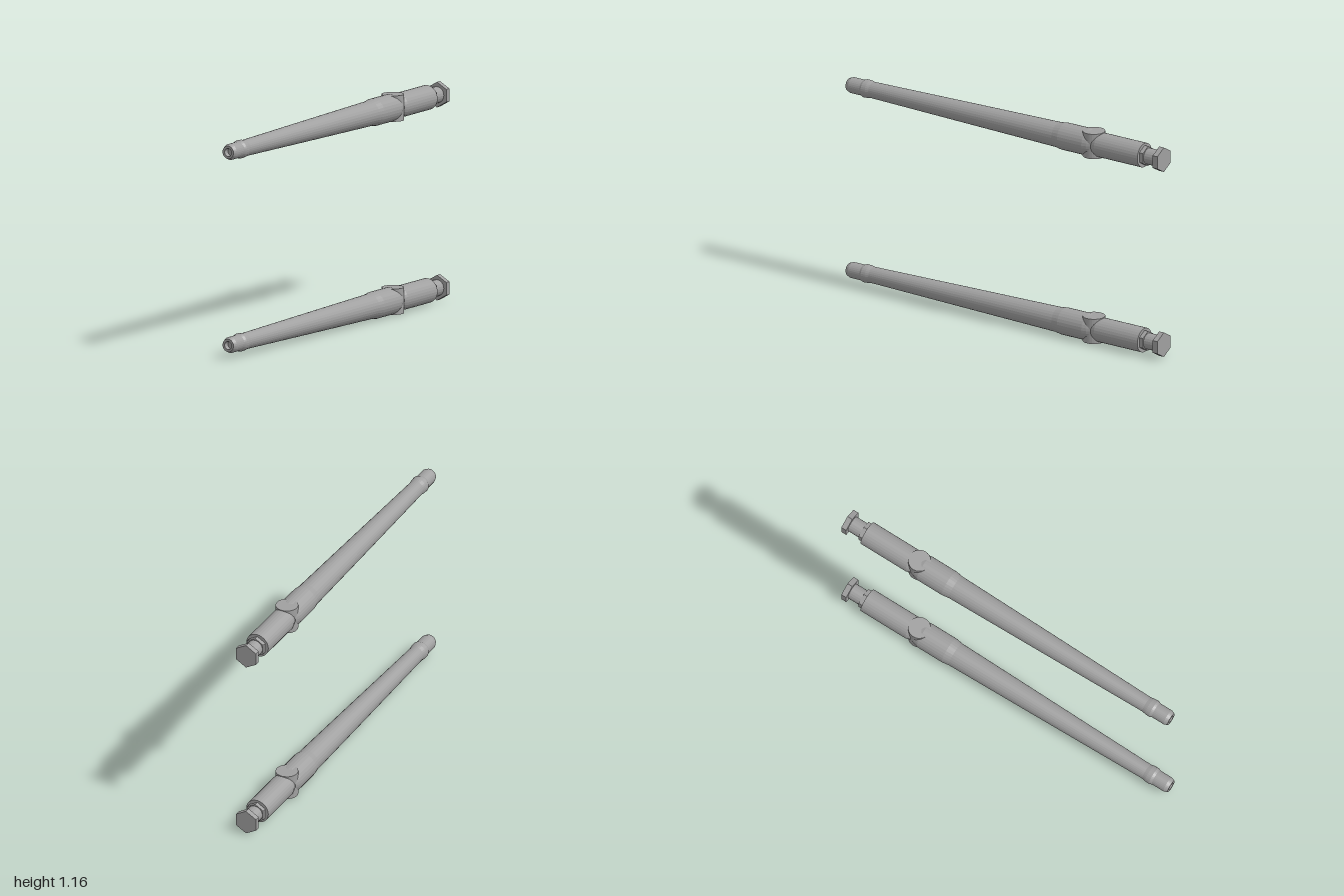
import * as THREE from 'three';

const steel = new THREE.MeshStandardMaterial({ color: 0xa0a0a0, flatShading: true });
steel.name = 'grey steel';

function add(group, name, geometry) {
  const mesh = new THREE.Mesh(geometry, steel);
  mesh.name = name;
  group.add(mesh);
}

// Turned part along z from [z, radius] pairs listed back to front
function turned(profile) {
  const points = profile.map(([z, r]) => new THREE.Vector2(r, z));
  return new THREE.LatheGeometry(points, 28).rotateX(Math.PI / 2);
}

// Prism or cylinder along z between two positions
function alongZ(radius, back, front, sides) {
  return new THREE.CylinderGeometry(radius, radius, front - back, sides)
    .rotateX(Math.PI / 2)
    .translate(0, 0, (back + front) / 2);
}

function createBarrel() {
  const g = new THREE.Group();

  // Tapered tube with swollen breech, muzzle ring and shallow bore
  add(g, 'barrelTube', turned([
    [-0.57, 0], [-0.57, 0.058], [-0.55, 0.066], [-0.525, 0.072], [-0.37, 0.072],
    [-0.33, 0.066], [0.2, 0.056], [0.85, 0.043], [0.87, 0.047], [0.895, 0.048],
    [0.908, 0.042], [0.98, 0.042], [1.0, 0.034], [1.0, 0.021], [0.97, 0.021], [0.97, 0],
  ]));

  // Vertical pivot drum through the barrel
  add(g, 'pivotDrum', new THREE.CylinderGeometry(0.059, 0.059, 0.136, 28).translate(0, 0, -0.555));

  // Rear sleeve
  add(g, 'rearSleeve', turned([
    [-0.877, 0], [-0.877, 0.065], [-0.6, 0.065], [-0.575, 0.058], [-0.575, 0],
  ]));

  // Hexagonal collar, neck and end cap
  add(g, 'hexCollar', alongZ(0.054, -0.9, -0.87, 6));
  add(g, 'rearNeck', alongZ(0.043, -0.98, -0.89, 20));
  add(g, 'hexCap', alongZ(0.067, -1, -0.97, 6));
  return g;
}

export function createModel() {
  const model = new THREE.Group();
  model.name = 'barrelPair';
  [['lowerBarrel', 0.072], ['upperBarrel', 1.088]].forEach(([name, y]) => {
    const barrel = createBarrel();
    barrel.name = name;
    barrel.position.y = y;
    model.add(barrel);
  });
  return model;
}
